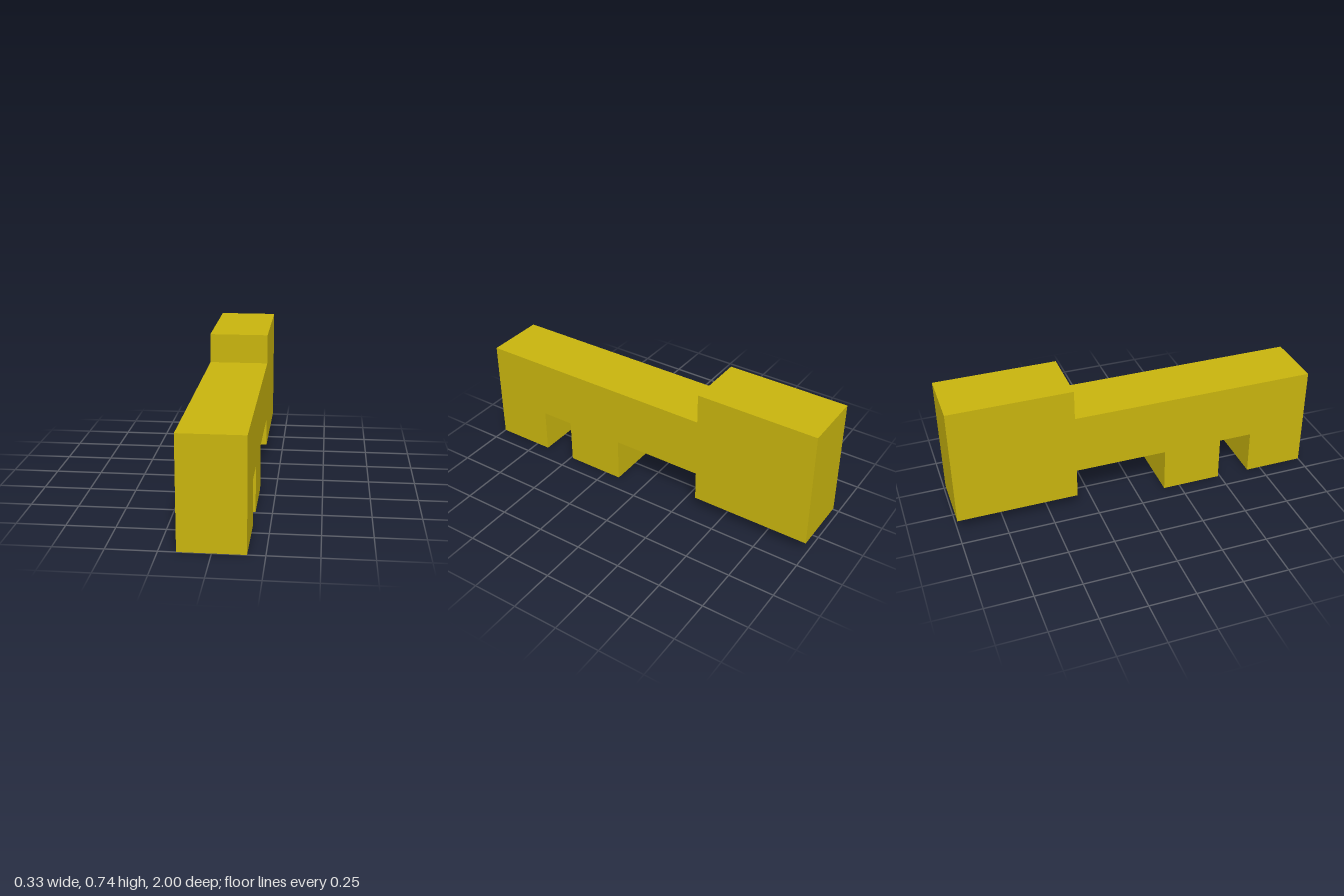
import * as THREE from 'three';

export function createModel() {
  const group = new THREE.Group();
  group.name = 'key';
  const width = 0.328;

  // Side outline: [distance towards the back, height]
  const outline = [
    [-1, 0], [-0.672, 0], [-0.672, 0.246], [-0.488, 0.246], // front tooth
    [-0.488, 0], [-0.16, 0], [-0.16, 0.246],                // rear tooth
    [0.344, 0.246], [0.344, 0.082], [1, 0.082],             // underside of shaft and bow
    [1, 0.738], [0.344, 0.738], [0.344, 0.574], [-1, 0.574], // top of bow and shaft
  ];
  const shape = new THREE.Shape(outline.map(([s, y]) => new THREE.Vector2(s, y)));

  // Extrude across the width and turn the teeth end to the front
  const geometry = new THREE.ExtrudeGeometry(shape, { depth: width, bevelEnabled: false });
  geometry.translate(0, 0, -width / 2);
  geometry.rotateY(Math.PI / 2);

  const body = new THREE.Mesh(geometry, new THREE.MeshStandardMaterial({ color: 0xc8b40e }));
  body.name = 'keyBody';
  group.add(body);
  return group;
}
